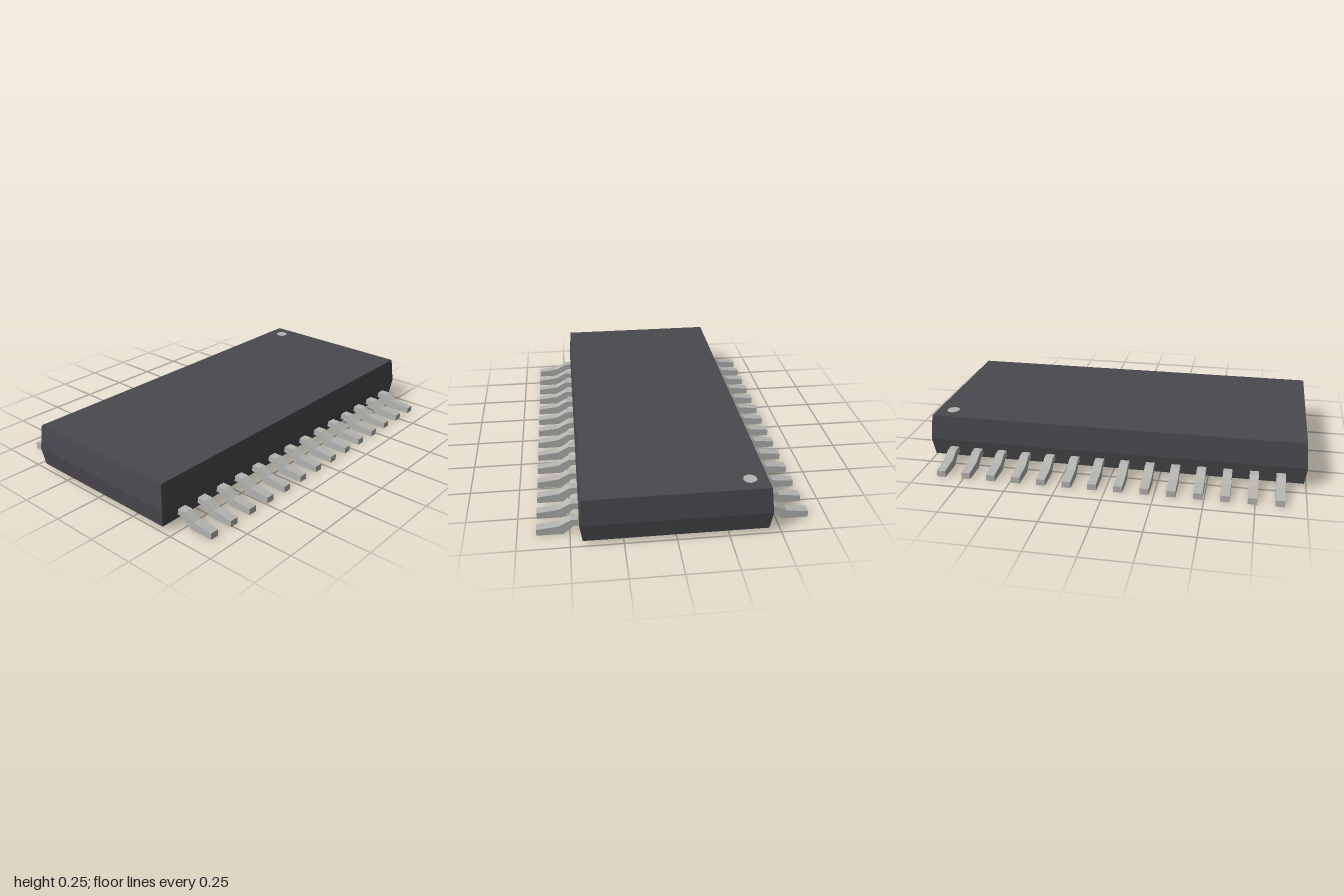
import * as THREE from 'three';

const PINS = 14, PITCH = 0.134, PIN_WIDTH = 0.046;

// Rectangular frustum between two levels [y, halfX, halfZ]
function frustum([y0, x0, z0], [y1, x1, z1]) {
  const g = new THREE.BoxGeometry(2, 2, 2).toNonIndexed();
  const p = g.attributes.position;
  for (let i = 0; i < p.count; i++) {
    const top = p.getY(i) > 0;
    p.setXYZ(i, p.getX(i) * (top ? x1 : x0), top ? y1 : y0, p.getZ(i) * (top ? z1 : z0));
  }
  g.computeVertexNormals();
  return g;
}

export function createModel() {
  const plastic = new THREE.MeshStandardMaterial({ color: 0x4a494e });
  plastic.name = 'dark plastic';
  const metal = new THREE.MeshStandardMaterial({ color: 0xb4b4b1 });
  metal.name = 'light metal';

  const model = new THREE.Group();
  model.name = 'chipPackage';
  const add = (parent, name, geometry, material) => {
    const mesh = new THREE.Mesh(geometry, material);
    mesh.name = name;
    parent.add(mesh);
    return mesh;
  };

  // Body: two drafted halves meeting at the parting line
  const base = [0.022, 0.442, 0.988], middle = [0.115, 0.455, 1], top = [0.248, 0.442, 0.988];
  add(model, 'bodyLower', frustum(base, middle), plastic);
  add(model, 'bodyUpper', frustum(middle, top), plastic);

  // Thermal pad underneath
  add(model, 'thermalPad', new THREE.BoxGeometry(0.53, 0.022, 1.09), metal).position.y = 0.014;

  // Pin one marker
  add(model, 'pinOneDot', new THREE.CylinderGeometry(0.033, 0.033, 0.004, 24), metal)
    .position.set(-0.355, 0.249, -0.902);

  // Bent pins along both long sides
  const profile = new THREE.Shape([
    [0.43, 0.046], [0.48, 0.042], [0.53, 0], [0.658, 0],
    [0.658, 0.033], [0.55, 0.045], [0.493, 0.076], [0.43, 0.076],
  ].map(([x, y]) => new THREE.Vector2(x, y)));
  const pinGeometry = new THREE.ExtrudeGeometry(profile, { depth: PIN_WIDTH, bevelEnabled: false });
  pinGeometry.translate(0, 0, -PIN_WIDTH / 2);

  for (const side of ['left', 'right']) {
    const row = new THREE.Group();
    row.name = side + 'Pins';
    if (side === 'right') row.rotation.y = Math.PI;
    for (let i = 0; i < PINS; i++) {
      add(row, side + 'Pin' + (i + 1), pinGeometry, metal).position.z = (i - (PINS - 1) / 2) * PITCH;
    }
    model.add(row);
  }
  return model;
}
